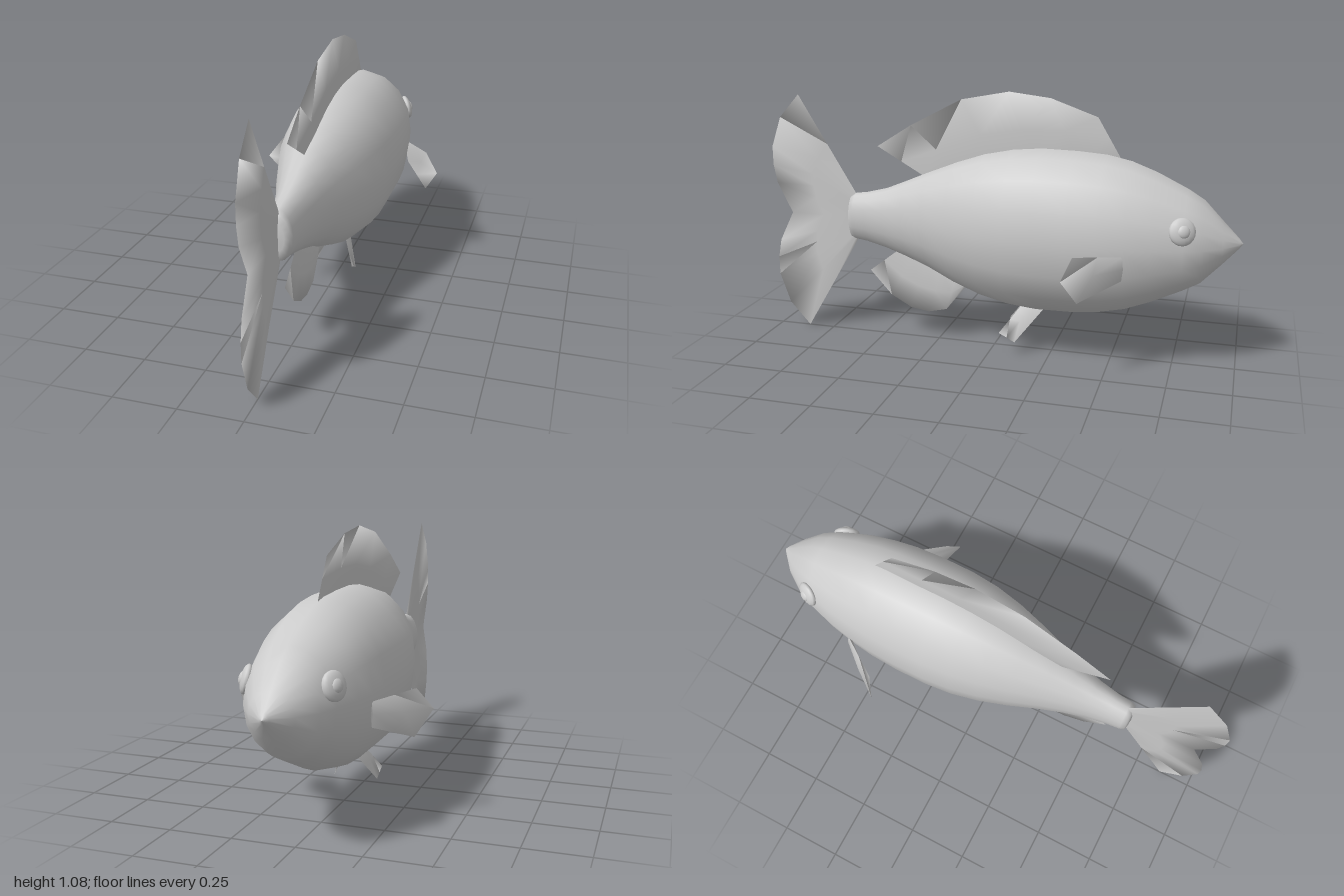
import * as THREE from 'three';

const skin = new THREE.MeshStandardMaterial({ color: 0xcccccc });
const finSkin = new THREE.MeshStandardMaterial({ color: 0xcccccc, side: THREE.DoubleSide });

// Skin a list of closed cross-sections (arrays of Vector3) with smooth normals.
function loft(sections) {
  const n = sections[0].length;
  const index = [];
  for (let i = 0; i < sections.length - 1; i++) {
    for (let j = 0; j < n; j++) {
      const k = (j + 1) % n;
      const a = i * n + j, b = i * n + k, c = b + n, d = a + n;
      index.push(a, b, c, a, c, d);
    }
  }
  const geo = new THREE.BufferGeometry().setFromPoints(sections.flat());
  geo.setIndex(index);
  geo.computeVertexNormals();
  return geo;
}

// Fin that is thick from root to middle and tapers to a sharp outer edge.
// rays: [root, edge] pairs of Vector3; normal: thickness direction.
function makeFin(name, rays, normal, thickness) {
  const sections = rays.map(([root, edge], i) => {
    const end = i === 0 || i === rays.length - 1;
    const t = normal.clone().normalize().multiplyScalar(end ? 0 : thickness);
    const mid = root.clone().lerp(edge, 0.5);
    return [root.clone().add(t), mid.clone().add(t), edge,
      mid.clone().sub(t), root.clone().sub(t)];
  });
  const mesh = new THREE.Mesh(loft(sections), finSkin);
  mesh.name = name;
  return mesh;
}

// Upright fin on the centre plane; root line and edge points are [z, y].
function medianFin(name, rootA, rootB, edge, thickness) {
  const rays = edge.map(([z, y], i) => {
    const t = i / (edge.length - 1);
    return [
      new THREE.Vector3(0, THREE.MathUtils.lerp(rootA[1], rootB[1], t),
        THREE.MathUtils.lerp(rootA[0], rootB[0], t)),
      new THREE.Vector3(0, y, z),
    ];
  });
  return makeFin(name, rays, new THREE.Vector3(1, 0, 0), thickness);
}

export function createModel() {
  const fish = new THREE.Group();
  fish.name = 'fish';

  // Body stations from snout to tail root: z, top, bottom, half width
  const stations = [
    [-1, 0.525, 0.525, 0], [-0.985, 0.545, 0.505, 0.02], [-0.925, 0.605, 0.44, 0.085],
    [-0.845, 0.69, 0.355, 0.14], [-0.78, 0.73, 0.32, 0.172], [-0.66, 0.79, 0.262, 0.207],
    [-0.56, 0.828, 0.222, 0.226], [-0.46, 0.85, 0.2, 0.239], [-0.34, 0.861, 0.188, 0.245],
    [-0.2, 0.864, 0.186, 0.244], [-0.08, 0.853, 0.197, 0.233], [0.04, 0.828, 0.224, 0.208],
    [0.16, 0.788, 0.268, 0.172], [0.28, 0.738, 0.325, 0.13], [0.38, 0.695, 0.362, 0.098],
    [0.47, 0.658, 0.392, 0.075], [0.56, 0.635, 0.415, 0.06], [0.615, 0.627, 0.423, 0.055],
    [0.635, 0.615, 0.433, 0.05], [0.642, 0.58, 0.47, 0.03], [0.645, 0.525, 0.525, 0],
  ];
  const body = new THREE.Mesh(loft(stations.map(([z, top, bottom, w]) =>
    Array.from({ length: 16 }, (_, j) => {
      const a = (j / 16) * Math.PI * 2;
      return new THREE.Vector3(w * Math.cos(a),
        (top + bottom) / 2 + ((top - bottom) / 2) * Math.sin(a), z);
    }))), skin);
  body.name = 'body';
  fish.add(body);

  // Forked tail, lower lobe mirrored from the upper
  const lobe = [[0.865, 1.04], [0.955, 0.94], [1, 0.81], [1, 0.73], [0.985, 0.65]];
  const tailEdge = [...lobe, [0.92, 0.52], ...lobe.map(([z, y]) => [z, 1.04 - y]).reverse()];
  fish.add(medianFin('tailFin', [0.615, 0.625], [0.615, 0.42], tailEdge, 0.007));

  // Fins on the back and belly
  fish.add(medianFin('dorsalFin', [0.3, 0.715], [-0.515, 0.835],
    [[0.51, 0.835], [0.36, 0.93], [0.14, 1.045], [-0.06, 1.083], [-0.23, 1.063], [-0.42, 0.995]], 0.007));
  fish.add(medianFin('analFin', [0.43, 0.385], [0.1, 0.27],
    [[0.56, 0.285], [0.465, 0.18], [0.375, 0.13], [0.295, 0.118], [0.215, 0.137], [0.135, 0.25]], 0.007));

  // Paired parts
  for (const [side, s] of [['left', 1], ['right', -1]]) {
    const v = (x, y, z) => new THREE.Vector3(s * x, y, z);

    fish.add(makeFin(side + 'PectoralFin', [
      [v(0.22, 0.5, -0.56), v(0.335, 0.52, -0.39)],
      [v(0.22, 0.455, -0.56), v(0.393, 0.44, -0.357)],
      [v(0.22, 0.405, -0.56), v(0.335, 0.34, -0.41)],
    ], v(0.77, 0, -0.64), 0.01));

    fish.add(makeFin(side + 'PelvicFin', [
      [v(0.038, 0.2, -0.125), v(0.093, 0.09, -0.043)],
      [v(0.033, 0.203, -0.175), v(0.093, 0.073, -0.077)],
      [v(0.026, 0.205, -0.23), v(0.093, 0.055, -0.11)],
    ], v(0.88, 0.45, 0), 0.006));

    // Eye: flat disc-like bulge with a smaller raised pupil
    const eye = new THREE.Group();
    eye.name = side + 'Eye';
    const parts = [['eyeball', 0.054, 0.022, 0], ['pupil', 0.026, 0.014, 0.014]];
    for (const [name, r, depth, offset] of parts) {
      const mesh = new THREE.Mesh(new THREE.SphereGeometry(1, 16, 10), skin);
      mesh.name = name;
      mesh.scale.set(r, r, depth);
      mesh.position.z = offset;
      eye.add(mesh);
    }
    eye.position.set(s * 0.16, 0.6, -0.775);
    eye.lookAt(s * 1.06, 0.85, -1.2);
    fish.add(eye);
  }
  return fish;
}
